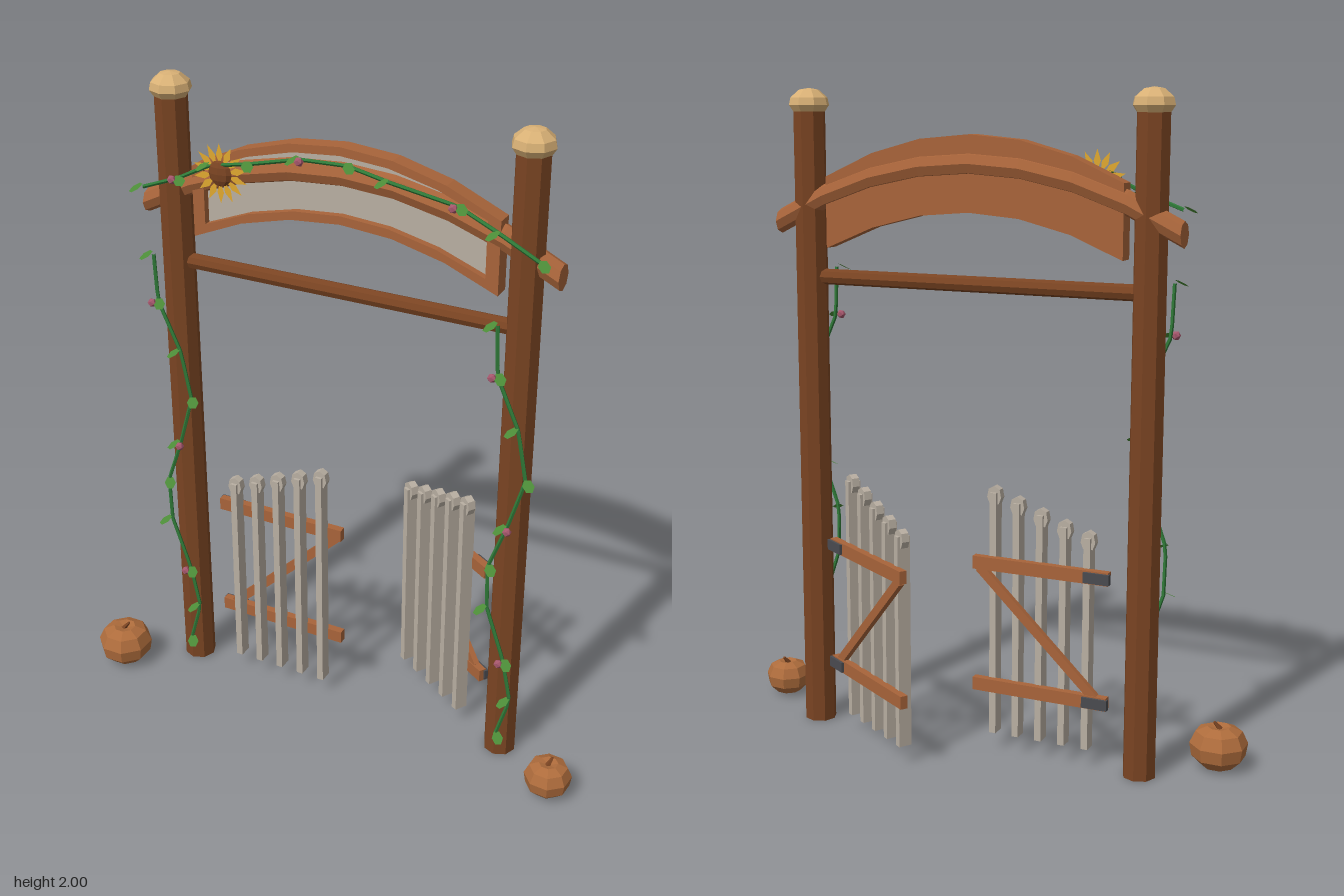
import * as THREE from 'three';

const paint = (name, color, extra = {}) => Object.assign(new THREE.MeshStandardMaterial({ color, ...extra }), { name });

export function createModel() {
  const M = {
    darkWood: paint('dark wood', 0x7a4422),
    wood: paint('warm wood', 0xa8643a),
    pumpkin: paint('pumpkin', 0xae6c3c),
    tan: paint('pale tan', 0xd8b075),
    picket: paint('weathered grey', 0xb9afa2),
    iron: paint('iron', 0x4a4b50),
    vine: paint('vine green', 0x2f7a38),
    leaf: paint('leaf green', 0x4c8c38, { side: THREE.DoubleSide }),
    petal: paint('petal yellow', 0xe0a830, { side: THREE.DoubleSide }),
    blossom: paint('blossom pink', 0xa5566c),
  };
  const model = new THREE.Group();

  // Faceted mesh helper
  const add = (parent, name, geo, mat, x = 0, y = 0, z = 0) => {
    const g = geo.index ? geo.toNonIndexed() : geo;
    g.computeVertexNormals();
    const m = new THREE.Mesh(g, mat);
    m.name = name;
    m.position.set(x, y, z);
    parent.add(m);
    return m;
  };
  const group = (parent, name) => {
    const g = new THREE.Group();
    g.name = name;
    parent.add(g);
    return g;
  };

  // Posts with domed caps
  const Z = 0.013;
  const capProfile = [[0, 1.925], [0.045, 1.925], [0.062, 1.95], [0.057, 1.972], [0.03, 1.995], [0, 2]]
    .map(([r, y]) => new THREE.Vector2(r, y));
  for (const s of [-1, 1]) {
    add(model, 'post', new THREE.CylinderGeometry(0.049, 0.05, 1.94, 8), M.darkWood, s * 0.546, 0.97, Z);
    add(model, 'postCap', new THREE.LatheGeometry(capProfile, 8), M.tan, s * 0.546, 0, Z);
  }

  // Straight crossbar
  add(model, 'crossbar', new THREE.CylinderGeometry(0.024, 0.024, 1.02, 8).rotateZ(Math.PI / 2), M.darkWood, 0, 1.435, Z);

  // Bowed log: a straight log bent along a parabola
  const log = new THREE.CylinderGeometry(0.038, 0.038, 1.29, 8, 8).rotateZ(Math.PI / 2);
  const p = log.attributes.position;
  for (let i = 0; i < p.count; i++) p.setY(i, p.getY(i) + 1.785 - 0.44 * p.getX(i) ** 2);
  add(model, 'archLog', log, M.wood, 0, 0, 0.005);

  // Curved sign board with a raised rim and pale face
  const arcPoints = (half, low, high) => {
    const pts = [];
    for (let i = 0; i <= 6; i++) {
      const x = -half + (half * i) / 3;
      pts.push(new THREE.Vector2(x, low - 0.53 * x * x));
    }
    for (let i = 6; i >= 0; i--) {
      const x = -half + (half * i) / 3;
      pts.push(new THREE.Vector2(x, high - 0.57 * x * x));
    }
    return pts;
  };
  const slab = (shape, depth) => new THREE.ExtrudeGeometry(shape, { depth, bevelEnabled: false });
  const rim = new THREE.Shape(arcPoints(0.475, 1.645, 1.868));
  rim.holes.push(new THREE.Path(arcPoints(0.437, 1.67, 1.843)));
  const sign = group(model, 'sign');
  add(sign, 'signBack', slab(new THREE.Shape(arcPoints(0.475, 1.645, 1.868)), 0.025), M.wood, 0, 0, -0.018);
  add(sign, 'signRim', slab(rim, 0.028), M.wood, 0, 0, 0.007);
  add(sign, 'signFace', slab(new THREE.Shape(arcPoints(0.437, 1.67, 1.843)), 0.006), M.picket, 0, 0, 0.007);

  // Gate leaf running from its hinge along dir * x
  const tip = new THREE.Shape([[-0.015, -0.055], [0.015, -0.055], [0.023, -0.035], [0.018, -0.01], [0, 0], [-0.018, -0.01], [-0.023, -0.035]]
    .map(([x, y]) => new THREE.Vector2(x, y)));
  const gateLeaf = (name, dir, heights) => {
    const g = group(model, name);
    for (const y of [0.215, 0.6]) {
      add(g, 'rail', new THREE.BoxGeometry(0.434, 0.04, 0.024), M.wood, dir * 0.217, y, 0);
      add(g, 'hinge', new THREE.BoxGeometry(0.08, 0.032, 0.016), M.iron, dir * 0.035, y, -0.012);
    }
    const a = new THREE.Vector2(dir * 0.04, 0.228), b = new THREE.Vector2(dir * 0.415, 0.585);
    const d = b.clone().sub(a);
    add(g, 'brace', new THREE.BoxGeometry(d.length(), 0.028, 0.018), M.wood, (a.x + b.x) / 2, (a.y + b.y) / 2, 0)
      .rotation.z = Math.atan2(d.y, d.x);
    heights.forEach((h, i) => {
      const x = dir * (0.075 + 0.0755 * i);
      add(g, 'picket', new THREE.BoxGeometry(0.021, h - 0.075, 0.042), M.picket, x, 0.055 + (h - 0.075) / 2, 0.03);
      add(g, 'picketTip', slab(tip, 0.024), M.picket, x, h, 0.018);
    });
    return g;
  };
  const rise = [0.73, 0.755, 0.782, 0.81, 0.835];
  gateLeaf('rightGate', 1, rise).position.set(-0.45, 0, -0.01);
  const open = gateLeaf('leftGate', -1, [...rise].reverse());
  open.position.set(0.464, 0, -0.025);
  open.rotation.y = -0.563;

  // Vines with leaves and blossoms at their bends
  const vine = (name, pts, dx = 0) => {
    const g = group(model, name);
    g.position.x = dx;
    const v = pts.map((q) => new THREE.Vector3(...q));
    const curve = new THREE.CatmullRomCurve3(v, false, 'catmullrom', 0);
    add(g, 'stem', new THREE.TubeGeometry(curve, (v.length - 1) * 4, 0.006, 5), M.vine);
    v.forEach((q, i) => {
      const side = i % 2 ? 1 : -1;
      const leaf = add(g, 'leaf', new THREE.CircleGeometry(0.022, 6).scale(0.8, 1.1, 1), M.leaf, q.x + side * 0.015, q.y, q.z + 0.018);
      leaf.rotation.set(-1.2, side * 0.3, side * 0.5);
      if (i % 3 === 1) add(g, 'blossom', new THREE.IcosahedronGeometry(0.014, 0), M.blossom, q.x - side * 0.008, q.y, q.z + 0.02);
    });
  };
  const climb = [[-0.598, 1.46], [-0.592, 1.31], [-0.522, 1.155], [-0.492, 1], [-0.54, 0.835], [-0.592, 0.69],
    [-0.588, 0.545], [-0.528, 0.37], [-0.5, 0.23], [-0.54, 0.09]].map(([x, y]) => [x, y, 0.072]);
  vine('rightPostVine', climb);
  vine('leftPostVine', climb, 1.092);
  vine('archVine', [[-0.62, 1.665, 0.07], [-0.5, 1.71, 0.07], [-0.4, 1.76, 0.055], [-0.27, 1.79, 0.078], [-0.115, 1.82, 0.05],
    [0.03, 1.825, 0.05], [0.17, 1.81, 0.078], [0.36, 1.765, 0.05], [0.49, 1.72, 0.075], [0.61, 1.665, 0.085]]);

  // Sunflower
  const flower = group(model, 'sunflower');
  flower.position.set(-0.365, 1.742, 0.06);
  for (let i = 0; i < 14; i++) {
    const petal = new THREE.Shape([[0, 0.025], [0.011, 0.055], [0, 0.088], [-0.011, 0.055]].map((q) => new THREE.Vector2(...q)));
    add(flower, 'petal', new THREE.ShapeGeometry(petal), M.petal).rotation.z = (i * Math.PI) / 7;
  }
  add(flower, 'seedHead', new THREE.SphereGeometry(0.038, 8, 6).scale(1, 1, 0.4), M.darkWood);

  // Pumpkins
  for (const [x, z, r, h, turn] of [[-0.742, 0.168, 0.088, 0.062, 0.4], [0.755, 0.15, 0.072, 0.052, 1.1]]) {
    const g = group(model, 'pumpkin');
    g.position.set(x, h + 0.008, z);
    g.rotation.y = turn;
    const body = new THREE.LatheGeometry([[0, -1], [0.55, -1], [0.92, -0.5], [1, 0.15], [0.8, 0.75], [0.4, 1], [0, 0.85]]
      .map(([a, b]) => new THREE.Vector2(a * r, b * h)), 8);
    add(g, 'pumpkinBody', body, M.pumpkin);
    add(g, 'pumpkinStem', new THREE.CylinderGeometry(0.004, 0.009, 0.03, 5), M.darkWood, 0.006, h + 0.002, 0).rotation.z = -0.7;
  }
  return model;
}
